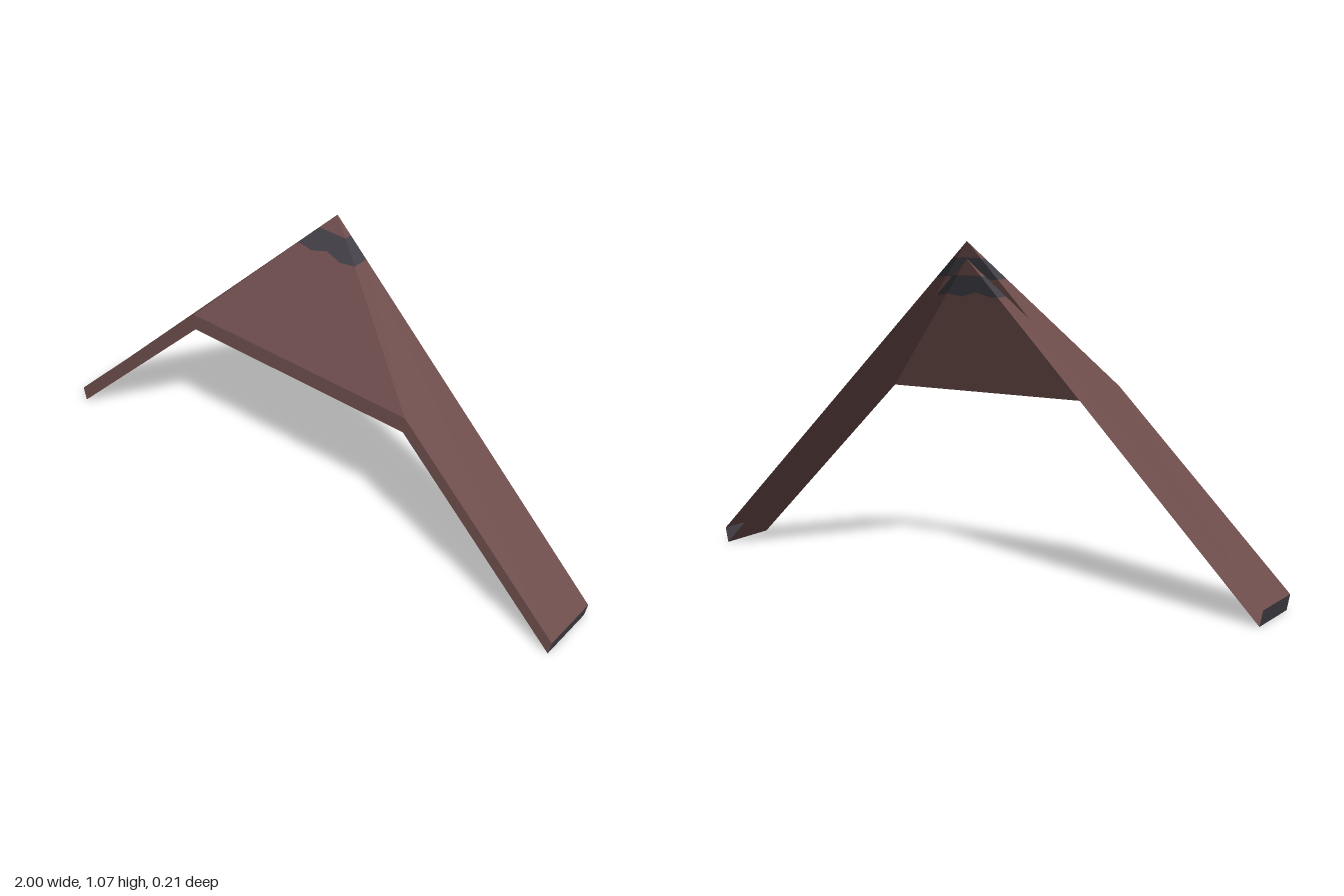
import * as THREE from 'three';

const V = (x, y, z) => new THREE.Vector3(x, y, z);
const mirror = (p) => V(-p.x, p.y, p.z);

// Flat mesh from convex polygons, each drawn as a fan; flip turns them inside out
function faces(name, material, polygons, flip = false) {
  const pos = [];
  for (const poly of polygons) {
    const p = flip ? [...poly].reverse() : poly;
    for (let i = 1; i < p.length - 1; i++)
      for (const v of [p[0], p[i], p[i + 1]]) pos.push(v.x, v.y, v.z);
  }
  const g = new THREE.BufferGeometry();
  g.setAttribute('position', new THREE.Float32BufferAttribute(pos, 3));
  g.computeVertexNormals();
  const m = new THREE.Mesh(g, material);
  m.name = name;
  return m;
}

// Adds the mirrored copy of every polygon, keeping it facing outwards
const bothSides = (polys) => [...polys, ...polys.map((p) => p.map(mirror).reverse())];

export function createModel() {
  const brown = new THREE.MeshStandardMaterial({ color: 0x704f4e, side: THREE.DoubleSide });
  brown.name = 'reddish brown';
  const grey = new THREE.MeshStandardMaterial({ color: 0x444248, side: THREE.DoubleSide });
  grey.name = 'dark grey';

  const model = new THREE.Group();
  model.name = 'hippedRoofEnd';
  const z = 0.104;

  // Corners of the upper and lower skins: apex, hip foot, front and back eave
  const upper = { apex: V(0, 1.073, -z), foot: V(0.425, 0.629, z), front: V(1, 0.05, z), back: V(1, 0.05, -z) };
  const lower = { apex: V(0, 1.018, -z), foot: V(0.42, 0.572, z), front: V(0.99, 0, z), back: V(0.99, 0, -z) };

  // One roof skin: two slopes and the hip triangle, with a grey band below the apex
  function skin(label, { apex, foot, front, back }, flip) {
    const at = (end, drop) => apex.clone().lerp(end, drop / (apex.y - end.y));
    const [h1, h2] = [0.053, 0.115].map((d) => at(foot, d));
    const [e1, e2] = [0.053, 0.115].map((d) => at(back, d));
    const mid = V(0, foot.y, z);
    const m1 = at(mid, 0.053), m2 = at(mid, 0.107);
    const b2 = at(mid, 0.122).setX(0.055); // low point of the wavy band edge

    model.add(faces(label + 'Slopes', brown, bothSides([
      [apex, h1, e1],
      [e2, h2, foot, front, back],
    ]), flip));
    model.add(faces(label + 'Hip', brown, bothSides([
      [apex, m1, h1],
      [m2, mid, b2],
      [b2, mid, foot],
      [b2, foot, h2],
    ]), flip));
    model.add(faces(label + 'ApexBand', grey, bothSides([
      [e1, h1, h2, e2],
      [m1, m2, b2],
      [m1, b2, h2, h1],
    ]), flip));
  }
  skin('upper', upper, false);
  skin('lower', lower, true);

  // Front edge joining the skins; the back stays open
  model.add(faces('frontFascia', brown, [
    [mirror(lower.foot), lower.foot, upper.foot, mirror(upper.foot)],
    ...bothSides([[lower.foot, lower.front, upper.front, upper.foot]]),
  ]));

  // Eave ends
  model.add(faces('eaveEnds', grey, bothSides([
    [upper.front, lower.front, lower.back, upper.back],
  ])));

  return model;
}
